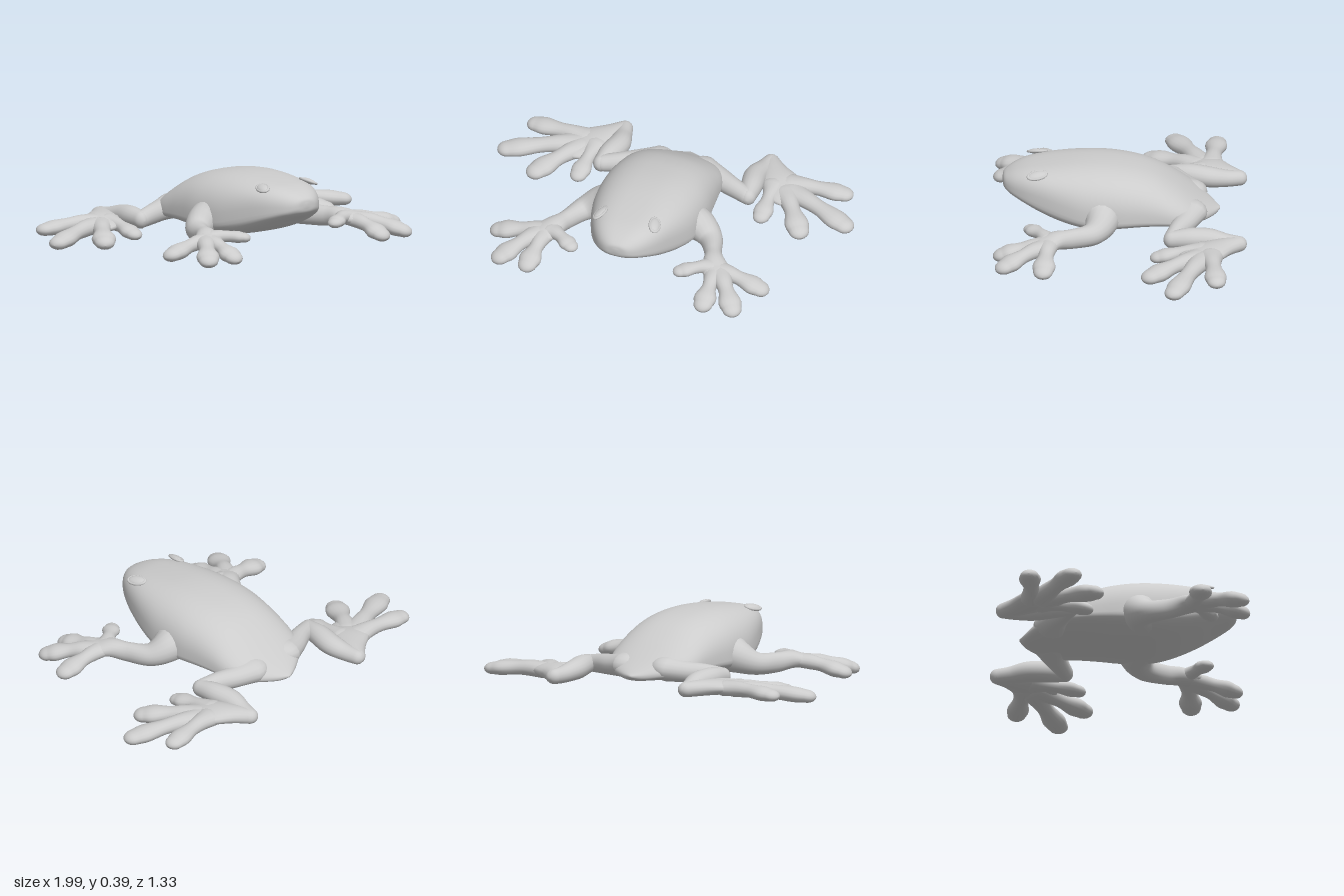
import * as THREE from 'three';

const material = new THREE.MeshStandardMaterial({ color: 0xcccccc, roughness: 0.8 });
const V = (x, y, z) => new THREE.Vector3(x, y, z);
const smooth = (pts) => new THREE.CatmullRomCurve3(pts, false, 'catmullrom', 0.5);

// Skin a list of closed rings into one smooth, seamless surface
function loft(name, rings) {
  const n = rings[0].length, pos = [], idx = [];
  rings.forEach((ring) => ring.forEach((p) => pos.push(p.x, p.y, p.z)));
  for (let i = 0; i < rings.length - 1; i++) {
    for (let j = 0; j < n; j++) {
      const a = i * n + j, b = i * n + (j + 1) % n;
      idx.push(a, a + n, b, b, a + n, b + n);
    }
  }
  const g = new THREE.BufferGeometry();
  g.setAttribute('position', new THREE.Float32BufferAttribute(pos, 3));
  g.setIndex(idx);
  g.computeVertexNormals();
  const mesh = new THREE.Mesh(g, material);
  mesh.name = name;
  return mesh;
}

// Round-ended limb through stations [x, y, z, half width, half height]
function limb(name, stations, side, steps = 24, n = 18) {
  const path = smooth(stations.map((s) => V(s[0] * side, s[1], s[2])));
  const size = smooth(stations.map((s) => V(s[3], s[4], 0)));
  const rings = [];
  const ring = (u, shift, k) => {
    const c = path.getPoint(u), r = size.getPoint(u), t = path.getTangent(u);
    const across = V().crossVectors(t, V(0, 1, 0)).normalize();
    const up = V().crossVectors(across, t);
    c.addScaledVector(t, shift * r.x);
    rings.push(Array.from({ length: n }, (_, j) => {
      const a = j / n * Math.PI * 2;
      return c.clone().addScaledVector(across, Math.cos(a) * r.x * k)
        .addScaledVector(up, Math.sin(a) * r.y * k);
    }));
  };
  const cap = 6;
  for (let i = 0; i < cap; i++) {
    const a = (1 - i / cap) * Math.PI / 2;
    ring(0, -Math.sin(a), Math.max(Math.cos(a), 0.002));
  }
  for (let i = 0; i <= steps; i++) ring(i / steps, 0, 1);
  for (let i = 1; i <= cap; i++) {
    const a = i / cap * Math.PI / 2;
    ring(1, Math.sin(a), Math.max(Math.cos(a), 0.002));
  }
  return loft(name, rings);
}

// Digit with a slim neck and a long, flattened toe pad
function digit(name, base, tip, side, root, neck, pad) {
  const at = (t, lift = 0) => base.map((b, i) => b + (tip[i] - b) * t + (i === 1 ? lift : 0));
  return limb(name, [
    [...at(0), root, root * 0.6],
    [...at(0.27, 0.006), neck * 1.15, neck * 0.95],
    [...at(0.53, 0.006), neck, neck * 0.85],
    [...at(0.82, 0.003), pad, pad * 0.66],
    [...at(1), pad * 0.86, pad * 0.56],
  ], side, 22, 16);
}

function body() {
  // Stations: z, half width, top, bottom, height of the widest line, roundness
  const s = [
    [0.612, 0.012, 0.270, 0.250, 0.26, 0.85], [0.605, 0.060, 0.293, 0.224, 0.25, 0.82],
    [0.58, 0.100, 0.312, 0.203, 0.24, 0.78], [0.54, 0.138, 0.331, 0.184, 0.23, 0.72],
    [0.48, 0.178, 0.348, 0.156, 0.215, 0.67], [0.40, 0.216, 0.360, 0.118, 0.195, 0.66],
    [0.30, 0.254, 0.371, 0.080, 0.165, 0.71], [0.20, 0.282, 0.378, 0.056, 0.14, 0.76],
    [0.10, 0.294, 0.377, 0.050, 0.13, 0.77], [0.00, 0.296, 0.367, 0.055, 0.13, 0.78],
    [-0.10, 0.287, 0.348, 0.062, 0.13, 0.80], [-0.20, 0.276, 0.313, 0.066, 0.125, 0.83],
    [-0.30, 0.262, 0.255, 0.065, 0.115, 0.86], [-0.38, 0.228, 0.198, 0.060, 0.108, 0.88],
    [-0.45, 0.152, 0.146, 0.060, 0.10, 0.9], [-0.50, 0.070, 0.112, 0.064, 0.09, 0.9],
    [-0.53, 0.008, 0.094, 0.083, 0.088, 0.9],
  ];
  const shape = smooth(s.map((p) => V(p[1], p[2], p[3])));
  const spine = smooth(s.map((p) => V(p[5], p[4], p[0])));
  const bulge = (v, e) => Math.sign(v) * Math.abs(v) ** e;
  const rings = [];
  for (let i = 0; i <= 80; i++) {
    const w = shape.getPoint(i / 80), c = spine.getPoint(i / 80);
    rings.push(Array.from({ length: 48 }, (_, j) => {
      const a = j / 48 * Math.PI * 2;
      const x = bulge(Math.cos(a), c.x), y = bulge(Math.sin(a), c.x);
      return V(w.x * x, c.y + y * (y > 0 ? w.y - c.y : c.y - w.z), c.z);
    }));
  }
  // Close the snout and the rump
  const tip = (r) => {
    const c = r.reduce((m, p) => m.add(p), V(0, 0, 0)).divideScalar(r.length);
    return r.map(() => c.clone());
  };
  return loft('body', [tip(rings[0]), ...rings, tip(rings[80])]);
}

// Low oval eye: a thin rim lying on the head with a lens inside it
function eye(side) {
  const g = new THREE.Group();
  g.name = side > 0 ? 'leftEye' : 'rightEye';
  const ball = new THREE.Mesh(new THREE.SphereGeometry(1, 24, 16), material);
  ball.scale.set(0.028, 0.014, 0.05);
  ball.name = 'eyeball';
  const rim = new THREE.Mesh(new THREE.TorusGeometry(1, 0.2, 10, 28), material);
  rim.rotation.x = Math.PI / 2;
  rim.scale.set(0.028, 0.048, 0.035);
  rim.name = 'eyelid';
  g.add(ball, rim);
  g.position.set(0.152 * side, 0.343, 0.43);
  g.rotation.set(0.14, 0.24 * side, -0.42 * side);
  return g;
}

function frontLeg(side) {
  const g = new THREE.Group();
  g.name = side > 0 ? 'leftFrontLeg' : 'rightFrontLeg';
  // Tall shoulder sinking into the flank, forearm and palm
  g.add(limb('arm', [
    [0.18, 0.165, 0.105, 0.12, 0.115], [0.275, 0.135, 0.092, 0.092, 0.088],
    [0.358, 0.100, 0.140, 0.064, 0.060], [0.412, 0.096, 0.25, 0.046, 0.053],
    [0.447, 0.104, 0.33, 0.06, 0.047], [0.485, 0.097, 0.39, 0.076, 0.037],
  ], side, 36));
  const fingers = [
    [[0.48, 0.098, 0.37], [0.728, 0.054, 0.398], 0.041, 0.061],
    [[0.51, 0.094, 0.40], [0.647, 0.044, 0.600], 0.042, 0.061],
    [[0.478, 0.094, 0.40], [0.492, 0.044, 0.612], 0.039, 0.060],
    [[0.445, 0.106, 0.37], [0.308, 0.104, 0.462], 0.035, 0.047],
  ];
  fingers.forEach(([b, t, neck, pad], i) => g.add(digit('finger' + (i + 1), b, t, side, 0.062, neck, pad)));
  return g;
}

function hindLeg(side) {
  const g = new THREE.Group();
  g.name = side > 0 ? 'leftHindLeg' : 'rightHindLeg';
  // Haunch tapering out to the knee
  g.add(limb('thigh', [
    [0.13, 0.120, -0.365, 0.098, 0.066], [0.225, 0.110, -0.346, 0.066, 0.056],
    [0.32, 0.103, -0.308, 0.050, 0.052], [0.40, 0.095, -0.280, 0.046, 0.046],
  ], side));
  g.add(limb('shank', [
    [0.412, 0.093, -0.275, 0.042, 0.046], [0.398, 0.095, -0.37, 0.058, 0.055],
    [0.383, 0.086, -0.47, 0.060, 0.054], [0.396, 0.072, -0.56, 0.049, 0.045],
    [0.408, 0.068, -0.63, 0.041, 0.040],
  ], side));
  // Webbed sole widening toward the toes
  g.add(limb('foot', [
    [0.412, 0.068, -0.625, 0.046, 0.040], [0.458, 0.072, -0.55, 0.072, 0.042],
    [0.52, 0.073, -0.475, 0.102, 0.040], [0.578, 0.066, -0.415, 0.108, 0.032],
  ], side));
  const toes = [
    [[0.57, 0.070, -0.482], [0.862, 0.060, -0.512], 0.042, 0.058],
    [[0.60, 0.062, -0.435], [0.943, 0.034, -0.292], 0.045, 0.062],
    [[0.575, 0.062, -0.41], [0.735, 0.030, -0.170], 0.044, 0.064],
    [[0.50, 0.070, -0.43], [0.512, 0.040, -0.207], 0.037, 0.053],
  ];
  toes.forEach(([b, t, neck, pad], i) => g.add(digit('toe' + (i + 1), b, t, side, 0.07, neck, pad)));
  return g;
}

export function createModel() {
  const model = new THREE.Group();
  model.name = 'frog';
  model.add(body());
  for (const side of [1, -1]) model.add(eye(side), frontLeg(side), hindLeg(side));
  return model;
}
